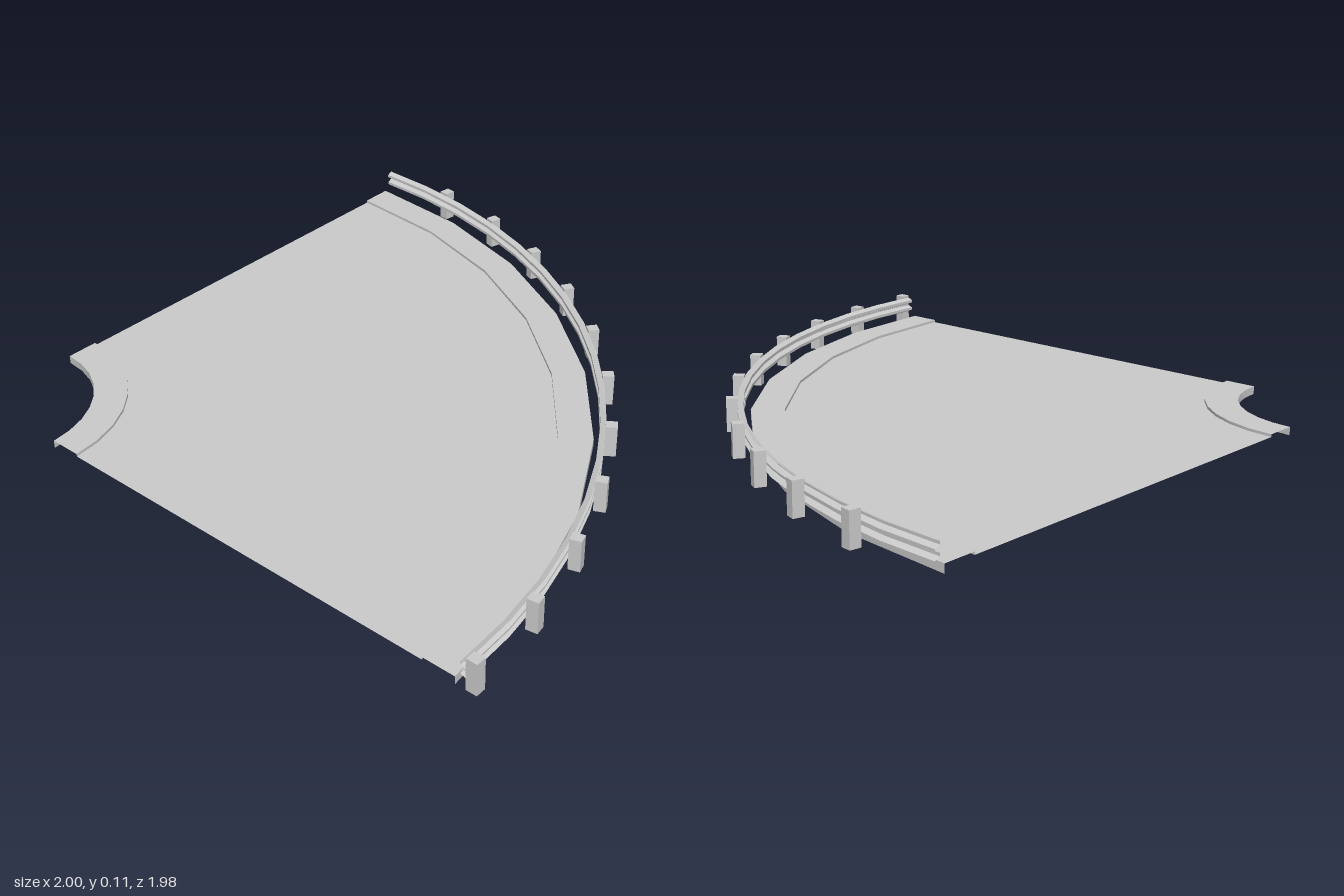
import * as THREE from 'three';
import { toCreasedNormals } from 'three/addons/utils/BufferGeometryUtils.js';

const CENTER_X = -1, CENTER_Z = 0.985;

// Sweep a [radius, height] profile through the quarter bend
function bend(name, profile, segments, material) {
  const points = profile.map(([r, y]) => new THREE.Vector2(r, y));
  const lathe = new THREE.LatheGeometry(points, segments, Math.PI / 2, Math.PI / 2);
  const mesh = new THREE.Mesh(toCreasedNormals(lathe, Math.PI / 7), material);
  mesh.name = name;
  return mesh;
}

export function createModel() {
  const model = new THREE.Group();
  model.name = 'curvedRoad';
  const sheet = new THREE.MeshStandardMaterial({ color: 0xcccccc, side: THREE.DoubleSide });
  const solid = new THREE.MeshStandardMaterial({ color: 0xcccccc });

  const bendGroup = new THREE.Group();
  bendGroup.name = 'bend';
  bendGroup.position.set(CENTER_X, 0, CENTER_Z);
  model.add(bendGroup);

  // Road surface with a raised, skirted kerb on either side
  const roadY = 0.018, kerbY = 0.027;
  bendGroup.add(
    bend('outerKerb', [[1.93, 0], [1.93, kerbY], [1.82, kerbY], [1.82, roadY]], 8, sheet),
    bend('roadSurface', [[1.82, roadY], [0.45, roadY]], 8, sheet),
    bend('innerKerb', [[0.45, roadY], [0.45, kerbY], [0.342, kerbY], [0.342, 0]], 8, sheet),
  );

  // Corrugated guard rail
  const back = 1.965, front = 1.947;
  bendGroup.add(bend('guardRail', [
    [back, 0.042], [front, 0.05], [front, 0.06], [back, 0.067],
    [back, 0.073], [front, 0.08], [front, 0.09], [back, 0.098],
  ], 16, sheet));

  // Posts behind the rail
  const postGeometry = new THREE.BoxGeometry(0.037, 0.107, 0.034);
  for (let i = 0; i < 11; i++) {
    const angle = THREE.MathUtils.degToRad(0.55 + 8.1 * i);
    const post = new THREE.Mesh(postGeometry, solid);
    post.name = 'railPost';
    post.position.set(1.981 * Math.cos(angle), 0.0535, -1.981 * Math.sin(angle));
    post.rotation.y = angle;
    bendGroup.add(post);
  }
  return model;
}
